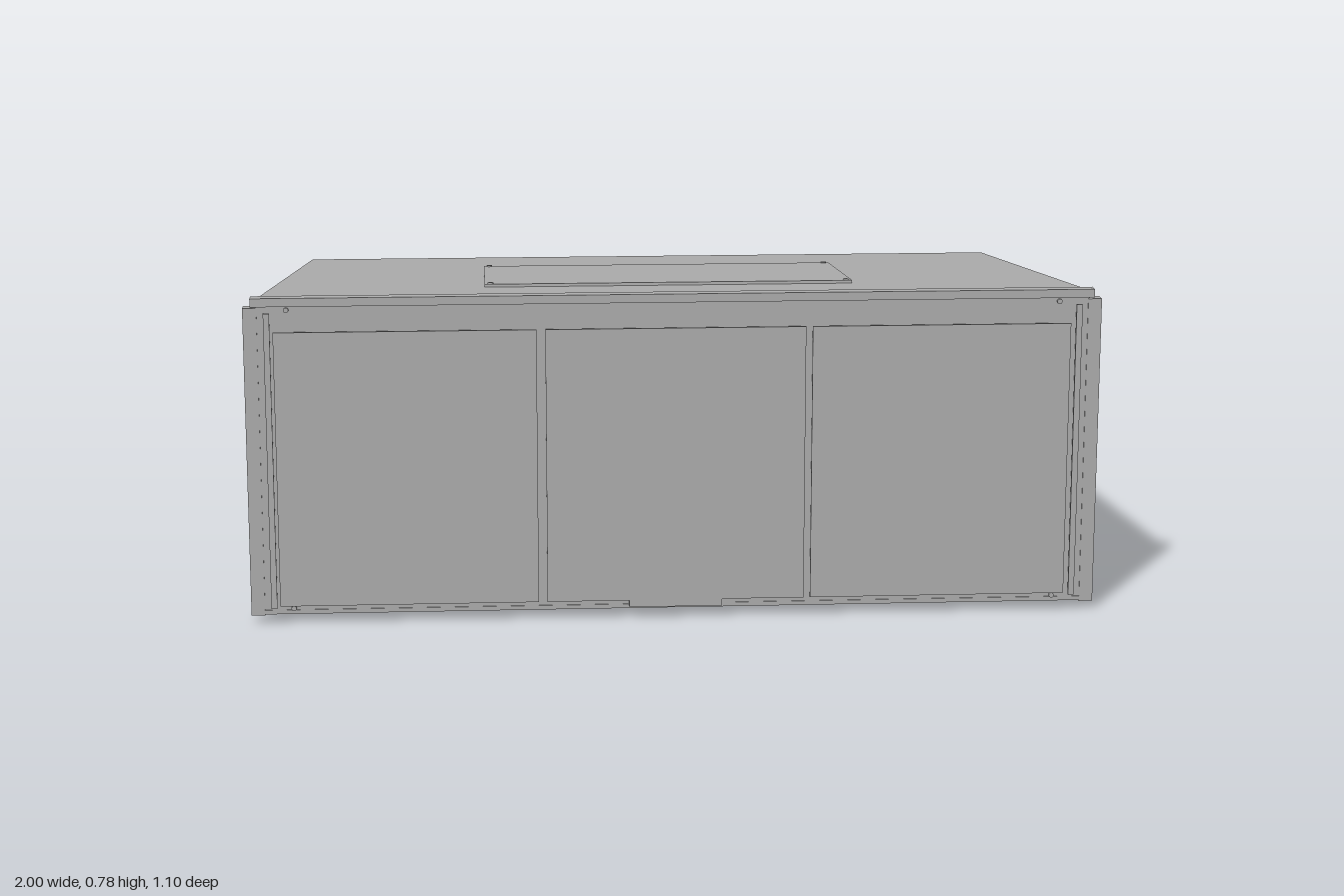
import * as THREE from 'three';

export function createModel() {
  const model = new THREE.Group();
  model.name = 'taperedCabinet';
  const grey = new THREE.MeshStandardMaterial({ color: 0xb0b0b0 });
  grey.name = 'cabinetGrey';

  function add(parent, name, geometry, x = 0, y = 0, z = 0) {
    const mesh = new THREE.Mesh(geometry, grey);
    mesh.name = name;
    mesh.position.set(x, y, z);
    parent.add(mesh);
    return mesh;
  }
  const box = (parent, name, w, h, d, x, y, z) =>
    add(parent, name, new THREE.BoxGeometry(w, h, d), x, y, z);
  // Disc or stud whose axis points along local z
  const stud = (parent, name, r, d, x, y, z) =>
    add(parent, name, new THREE.CylinderGeometry(r, r, d, 20).rotateX(Math.PI / 2), x, y, z);

  const halfWidth = z => 0.93 + 0.0708 * z;
  const topY = z => 0.73 + 0.085 * z;
  const bottomY = z => 0.03 - 0.005 * z;
  const tilt = Math.atan(0.0708);

  // Slab following the tapered plan between two sloped planes
  function slab(name, low, high, grow) {
    const g = new THREE.BoxGeometry(2, 2, 1.06);
    const p = g.attributes.position;
    for (let i = 0; i < p.count; i++) {
      const z = p.getZ(i);
      p.setXYZ(i, p.getX(i) * (halfWidth(z) + grow), p.getY(i) > 0 ? high(z) : low(z), z);
    }
    g.computeVertexNormals();
    add(model, name, g);
  }
  slab('topPanel', z => topY(z) - 0.012, topY, 0.003);
  slab('bottomPanel', bottomY, z => bottomY(z) + 0.015, 0);

  const rectPath = (x, y, w, h) => new THREE.Path([
    [-1, -1], [-1, 1], [1, 1], [1, -1]
  ].map(([a, b]) => new THREE.Vector2(x + a * w / 2, y + b * h / 2)));

  // Wall with pockets: outer face at local z = 0, local z points outwards
  const depth = 0.055;
  function wall(group, name, corners, pockets) {
    const shape = new THREE.Shape(corners.map(c => new THREE.Vector2(...c)));
    for (const [x, y, w, h] of pockets) {
      shape.holes.push(rectPath(x, y, w, h));
      box(group, 'pocketFloor', w + 0.02, h + 0.02, 0.008, x, y, -depth);
      const rim = new THREE.Shape(rectPath(x, y, w + 0.012, h + 0.012).getPoints());
      rim.holes.push(rectPath(x, y, w, h));
      add(group, 'pocketRim', new THREE.ExtrudeGeometry(rim, { depth: 0.003, bevelEnabled: false }));
    }
    add(group, name, new THREE.ExtrudeGeometry(shape, { depth, bevelEnabled: false }), 0, 0, -depth);
  }

  // Carrying handle: two blocks and a grip bar
  function handle(group, x, y) {
    const g = new THREE.Group();
    g.name = 'carryHandle';
    g.position.set(x, y, 0);
    for (const s of [-1, 1]) box(g, 'handleBlock', 0.027, 0.066, 0.052, s * 0.08, 0, -0.025);
    add(g, 'handleGrip', new THREE.CylinderGeometry(0.012, 0.012, 0.14, 16).rotateZ(Math.PI / 2), 0, 0, -0.002);
    group.add(g);
  }

  // Side walls with handles, bolts and sloping rails
  for (const s of [1, -1]) {
    const side = new THREE.Group();
    side.name = s > 0 ? 'leftSide' : 'rightSide';
    side.position.x = s * 0.93;
    side.rotation.y = s * (Math.PI / 2 + tilt);
    model.add(side);
    wall(side, 'sideWall', [
      [-0.525 * s, 0.028], [0.531 * s, 0.033], [0.531 * s, 0.68], [-0.525 * s, 0.768]
    ], [[0.055 * s, 0.377, 0.2, 0.143]]);
    handle(side, 0.055 * s, 0.38);
    for (const z of [0.265, -0.24]) stud(side, 'sideBolt', 0.006, 0.006, -z * s, 0.693, 0.001);
    for (const [yFront, yBack] of [[0.627, 0.578], [0.095, 0.087]]) {
      const rail = new THREE.Group();
      rail.name = 'sideRail';
      rail.position.set(0.018 * s, (yFront + yBack) / 2, 0);
      rail.rotation.z = -s * Math.atan((yFront - yBack) / 1.015);
      box(rail, 'railBase', 1.015, 0.022, 0.01, 0, 0, 0.004);
      box(rail, 'railRidge', 1.015, 0.01, 0.01, 0, 0, 0.011);
      side.add(rail);
    }
    // Front corner posts
    box(model, 'frontPost', 0.032, 0.735, 0.034, s * 0.984, 0.3875, 0.515);
    box(model, 'frontPostFoot', 0.025, 0.012, 0.03, s * 0.98, 0.025, 0.515);
    // Back strips and corner trim
    box(model, 'backStrip', 0.032, 0.622, 0.022, s * 0.764, 0.349, -0.538);
    box(model, 'backCornerTrim', 0.03, 0.65, 0.008, s * 0.875, 0.355, -0.531);
    box(model, 'backCornerFoot', 0.03, 0.02, 0.03, s * 0.875, 0.031, -0.518);
    // Narrow front strips and screws
    box(model, 'frontStrip', 0.014, 0.705, 0.006, s * 0.945, 0.392, 0.544);
    for (const y of [0.08, 0.7]) stud(model, 'stripStud', 0.004, 0.014, s * 0.945, y, 0.536);
    for (const y of [0.75, 0.036]) stud(model, 'frontScrew', 0.006, 0.008, s * 0.9, y, 0.532);
    // Feet
    for (const z of [0.355, -0.307]) {
      box(model, 'footPad', 0.076, 0.01, 0.076, s * 0.62, 0.005, z);
      box(model, 'foot', 0.088, 0.022, 0.088, s * 0.62, 0.019, z);
    }
  }

  // Back wall with two handle pockets and a connector pocket
  const back = new THREE.Group();
  back.name = 'back';
  back.position.z = -0.53;
  back.rotation.y = Math.PI;
  model.add(back);
  wall(back, 'backWall', [[-0.892, 0.033], [0.892, 0.033], [0.892, 0.68], [-0.892, 0.68]],
    [[-0.485, 0.445, 0.23, 0.15], [0.485, 0.445, 0.23, 0.15], [0, 0.167, 0.235, 0.15]]);
  for (const s of [-1, 1]) {
    handle(back, s * 0.482, 0.448);
    stud(back, 'connectorCollar', 0.038, 0.012, s * 0.055, 0.165, -0.046);
    stud(back, 'connector', 0.027, 0.046, s * 0.055, 0.165, -0.028);
  }

  // Front board, top lip and bottom lip
  box(model, 'frontBoard', 1.94, 0.735, 0.03, 0, 0.3925, 0.515);
  box(model, 'topLip', 1.965, 0.02, 0.032, 0, 0.768, 0.518);
  box(model, 'bottomLip', 1.94, 0.01, 0.03, 0, 0.027, 0.517);

  // Three front grille panels on studs
  for (const x of [-0.6275, 0, 0.6225]) {
    box(model, 'grillePanel', 0.607, 0.655, 0.006, x, 0.3725, 0.544);
    for (const sx of [-0.28, 0.28]) for (const y of [0.08, 0.665])
      stud(model, 'grilleStud', 0.004, 0.014, x + sx, y, 0.536);
  }
  box(model, 'lowerTab', 0.22, 0.018, 0.016, 0, 0.037, 0.537);

  // Raised hatch on the sloping top with corner screws
  const hatch = new THREE.Group();
  hatch.name = 'topHatch';
  hatch.position.set(0, topY(0.047), 0.047);
  hatch.rotation.x = -Math.atan(0.085);
  model.add(hatch);
  box(hatch, 'hatchPlate', 0.884, 0.007, 0.49, 0, 0.0035, 0);
  for (const sx of [-1, 1]) for (const sz of [-1, 1])
    add(hatch, 'hatchScrew', new THREE.CylinderGeometry(0.007, 0.007, 0.004, 16), sx * 0.428, 0.008, sz * 0.232);

  return model;
}
